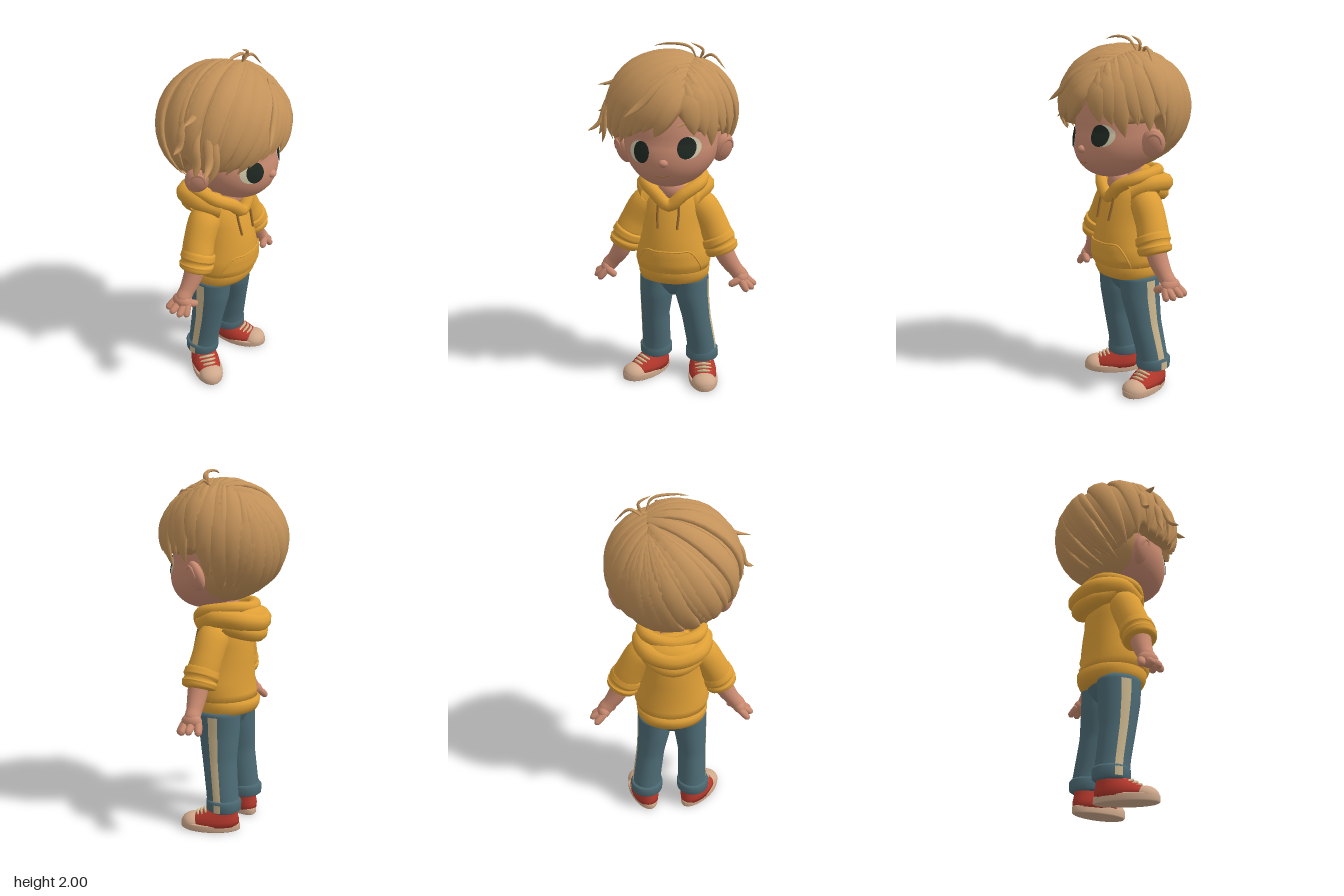
import * as THREE from 'three';

const V = (x, y, z) => new THREE.Vector3(x, y, z);
const paint = (name, color) => {
  const m = new THREE.MeshStandardMaterial({ color, side: THREE.DoubleSide });
  m.name = name;
  return m;
};

// Linear lookup in rows [key, a, b, ...]
function rowAt(rows, k) {
  let i = 0;
  while (i < rows.length - 2 && k > rows[i + 1][0]) i++;
  const t = THREE.MathUtils.clamp((k - rows[i][0]) / (rows[i + 1][0] - rows[i][0]), 0, 1);
  return rows[i].slice(1).map((v, j) => THREE.MathUtils.lerp(v, rows[i + 1][j + 1], t));
}

// Closed skin over equal-sized rings, with end caps
function loft(rings) {
  const n = rings[0].length, m = rings.length, idx = [], pts = rings.flat();
  for (let i = 0; i < m - 1; i++) for (let j = 0; j < n; j++) {
    const k = (j + 1) % n, a = i * n + j, b = a + n, c = i * n + k, d = c + n;
    idx.push(a, b, c, b, d, c);
  }
  const mid = (r) => r.reduce((s, p) => s.add(p), V(0, 0, 0)).divideScalar(n);
  pts.push(mid(rings[0]), mid(rings[m - 1]));
  for (let j = 0; j < n; j++) {
    const k = (j + 1) % n, e = (m - 1) * n;
    idx.push(m * n, j, k, m * n + 1, e + k, e + j);
  }
  const g = new THREE.BufferGeometry().setFromPoints(pts);
  g.setIndex(idx);
  g.computeVertexNormals();
  return g;
}

// Horizontal elliptical ring
const ring = (cx, y, cz, rx, rz, n = 32) => Array.from({ length: n }, (_, j) => {
  const a = j / n * Math.PI * 2;
  return V(cx + rx * Math.cos(a), y, cz + rz * Math.sin(a));
});

// Sweep an ellipse along a curve; size(t) gives [half width, half thickness]
function sweep(pts, size, normal, segs = 14, sides = 8) {
  const curve = new THREE.CatmullRomCurve3(pts), rings = [];
  for (let i = 0; i <= segs; i++) {
    const t = i / segs, p = curve.getPoint(t), T = curve.getTangent(t), [w, h] = size(t);
    const S = T.clone().cross(normal(p)).normalize(), N = S.clone().cross(T);
    rings.push(Array.from({ length: sides }, (_, j) => {
      const a = j / sides * Math.PI * 2;
      return p.clone().addScaledVector(S, w * Math.cos(a)).addScaledVector(N, h * Math.sin(a));
    }));
  }
  return loft(rings);
}

// Round limb from rows [x, y, z, radius], s mirrors it
function limb(rows, s = 1, segs = 16, sides = 20) {
  const radii = rows.map((r, i) => [i / (rows.length - 1), r[3]]);
  return sweep(rows.map((r) => V(s * r[0], r[1], r[2])),
    (t) => { const r = rowAt(radii, t)[0]; return [r, r]; }, () => V(0, 0, 1), segs, sides);
}

// Open curved plate from a function of u, v in 0..1
function patch(fn, nu, nv) {
  const g = new THREE.PlaneGeometry(1, 1, nu, nv), p = g.attributes.position;
  for (let i = 0; i < p.count; i++) p.setXYZ(i, ...fn(p.getX(i) + 0.5, p.getY(i) + 0.5));
  g.computeVertexNormals();
  return g;
}

const tube = (pts, r, closed = false) =>
  new THREE.TubeGeometry(new THREE.CatmullRomCurve3(pts.map((p) => V(...p)), closed), 48, r, 10, closed);
const ball = (x, y, z, rx, ry, rz) => new THREE.SphereGeometry(1, 28, 20).scale(rx, ry, rz).translate(x, y, z);

export function createModel() {
  const model = new THREE.Group();
  const skin = paint('skin', 0xc98a70), hair = paint('hair', 0xc3925a), hoodie = paint('hoodie', 0xdf9f36);
  const brown = paint('brown cord', 0x94642c), denim = paint('denim', 0x4d6b75), cream = paint('cream', 0xccb78e);
  const red = paint('shoe red', 0xb5382c), rubber = paint('rubber', 0xcfa98c);
  const white = paint('eye white', 0xd0c8aa), dark = paint('eye dark', 0x1f2822);
  const add = (name, geo, mat, parent = model) => {
    const m = new THREE.Mesh(geo, mat);
    m.name = name;
    parent.add(m);
    return m;
  };

  // Head: ellipsoid with the jaw pushed forward
  const skullY = (y) => (y < 1.5 ? 0.26 : 0.38);
  const jaw = (y) => 0.35 * Math.max(0, 1.5 - y);
  const faceZ = (x, y) => 0.265 * Math.sqrt(Math.max(0, 1 - (x / 0.265) ** 2 - ((y - 1.5) / skullY(y)) ** 2)) + jaw(y);
  const skull = new THREE.SphereGeometry(1, 48, 36), sp = skull.attributes.position;
  for (let i = 0; i < sp.count; i++) {
    const y = 1.5 + sp.getY(i) * (sp.getY(i) < 0 ? 0.26 : 0.38);
    sp.setXYZ(i, sp.getX(i) * 0.265, y, sp.getZ(i) * 0.265 + jaw(y));
  }
  skull.computeVertexNormals();
  add('head', skull, skin);
  add('nose', ball(0.01, 1.405, 0.273, 0.026, 0.022, 0.028), skin);
  add('neck', limb([[0, 1.14, -0.06, 0.075], [0, 1.32, -0.04, 0.06]]), skin);
  add('throat', ball(0, 1.2, 0.03, 0.075, 0.07, 0.06), skin);
  const disc = (cx, cy, rx, ry, off) => patch((u, v) => {
    const x = cx + rx * v * Math.cos(u * Math.PI * 2), y = cy + ry * v * Math.sin(u * Math.PI * 2);
    return [x, y, faceZ(x, y) + off];
  }, 32, 6);
  for (const [s, x, y, px] of [[-1, -0.126, 1.455, -0.112], [1, 0.138, 1.485, 0.127]]) {
    add('eyeWhite', disc(x, y, 0.057, 0.058, 0.003), white);
    add('pupil', disc(px, y, 0.046, 0.057, 0.006), dark);
    const ear = new THREE.Group();
    ear.name = 'ear';
    ear.position.set(s * 0.278, s < 0 ? 1.41 : 1.445, 0.005);
    ear.rotation.set(0, s * -0.7, s * -0.3);
    add('earShell', ball(0, 0, 0, 0.038, 0.082, 0.064), skin, ear);
    add('earFold', new THREE.TorusGeometry(0.045, 0.008, 8, 28, Math.PI * 1.2).scale(0.9, 1.25, 1)
      .rotateY(Math.PI / 2).translate(s * 0.024, 0.004, -0.004), skin, ear);
    model.add(ear);
  }
  const onFace = (x, y, d) => [x, y, faceZ(x, y) + d];
  add('mouth', tube([onFace(-0.035, 1.333, 0), onFace(0, 1.328, 0), onFace(0.035, 1.335, 0)], 0.0025), brown);
  add('brow', tube([onFace(0.08, 1.595, 0), onFace(0.13, 1.612, 0), onFace(0.18, 1.6, 0)], 0.005), hair);

  // Hair: a cap under overlapping locks that sweep from a side parting
  const C = V(0, 1.62, -0.01), R = V(0.35, 0.34, 0.36), rad = Math.PI / 180;
  const out = (p) => p.clone().sub(C).normalize();
  const hem = [[0, 1.6], [12, 1.56], [25, 1.53], [42, 1.475], [60, 1.45], [80, 1.455], [92, 1.5], [100, 1.42], [115, 1.35], [140, 1.31], [180, 1.295]];
  const tipY = (a) => rowAt(hem, Math.abs(a) > 180 ? 360 - Math.abs(a) : Math.abs(a))[0] + (a > 0 && a < 95 ? 0.055 : 0);
  const dirOf = (a, e) => V(Math.sin(a) * Math.cos(e), Math.sin(e), Math.cos(a) * Math.cos(e));
  const lift = (y) => Math.asin(THREE.MathUtils.clamp((y - C.y) / R.y, -0.97, 0.97));
  const onHair = (d, k) => {
    const p = d.clone().multiply(R).multiplyScalar(k);
    return p.setX(p.x * (p.x < 0 ? 1.065 : 1 - 0.45 * Math.max(0, p.z))).add(C);
  };
  const cap = [];
  for (let i = 0; i <= 20; i++) cap.push(Array.from({ length: 72 }, (_, j) => {
    let deg = 90 - j * 5;
    if (deg < -180) deg += 360;
    const low = tipY(deg) + 0.05 + 0.1 * Math.exp(-(((deg - 13) / 15) ** 2));
    return onHair(dirOf(deg * rad, THREE.MathUtils.lerp(lift(low), Math.PI / 2, i / 20)), 0.955 - 0.02 * i / 20);
  }));
  add('hairCap', loft(cap), hair);
  add('napeHair', new THREE.SphereGeometry(1, 32, 20, Math.PI, Math.PI, Math.PI * 0.4, Math.PI * 0.6)
    .scale(0.28, 0.222, 0.262).translate(0, 1.505, -0.03), hair);

  let seed = 7;
  const rnd = () => (seed = (seed * 16807) % 2147483647) / 2147483647;
  const lock = (name, pts, w, h) => add(name, sweep(pts,
    (t) => { const k = Math.min(1, 0.35 + 1.5 * t) * (1.002 - t ** 4); return [w * k, h * k]; }, out), hair);
  function sweptLock(a, u, w, h, raise, k0) {
    const z = THREE.MathUtils.lerp(0.7, -0.46, THREE.MathUtils.clamp(u, 0, 1));
    const d0 = V(0.37, Math.sqrt(1 - 0.37 ** 2 - z * z), z), d1 = dirOf(a * rad, lift(tipY(a) + raise));
    const th = d0.angleTo(d1), pts = [];
    for (let i = 0; i <= 8; i++) {
      const t = i / 8;
      const d = d0.clone().multiplyScalar(Math.sin((1 - t) * th) / Math.sin(th))
        .addScaledVector(d1, Math.sin(t * th) / Math.sin(th));
      pts.push(onHair(d, k0 + 0.03 * Math.sin(Math.PI * t ** 0.6) + 0.05 * t * t));
    }
    lock('hairLock', pts, w, h);
  }
  for (const [from, to, n] of [[-4, -185, 19], [36, 178, 14]]) for (let i = 0; i < n; i++) {
    const f = i / (n - 1), a = from + (to - from) * f;
    sweptLock(a, f * 1.4, 0.064, 0.024, (rnd() - 0.5) * 0.07, 0.922 + rnd() * 0.012);
    sweptLock(a + (rnd() - 0.5) * 8, f * 1.4 + 0.03, 0.03, 0.016, 0.02 + rnd() * 0.2, 0.938);
  }
  // Loose tufts and stray strands
  const strays = [
    [[0.13, 1.91, 0], [0.1, 1.975, 0.03], [-0.01, 1.993, 0.04], [-0.09, 1.98, 0.05]],
    [[0.14, 1.9, 0], [0.165, 1.96, 0.01], [0.1, 1.997, 0.02]],
    [[0.14, 1.9, -0.02], [0.21, 1.935, 0], [0.29, 1.86, 0.02]],
    [[-0.05, 1.94, 0.02], [-0.2, 1.875, 0.03], [-0.32, 1.785, 0.03], [-0.41, 1.765, 0.03]],
    [[-0.22, 1.84, 0.1], [-0.33, 1.7, 0.12], [-0.37, 1.58, 0.15], [-0.43, 1.535, 0.17]],
    [[-0.25, 1.85, -0.01], [-0.355, 1.72, -0.02], [-0.385, 1.63, -0.02], [-0.43, 1.61, -0.02]],
    [[0.07, 1.89, 0.2], [-0.02, 1.8, 0.3], [-0.1, 1.71, 0.34], [-0.17, 1.655, 0.372]],
    [[-0.3, 1.76, 0.06], [-0.365, 1.65, 0.07], [-0.375, 1.55, 0.08], [-0.395, 1.5, 0.08]],
    [[-0.29, 1.74, 0.14], [-0.33, 1.64, 0.16], [-0.34, 1.54, 0.16], [-0.36, 1.47, 0.14]],
  ];
  strays.forEach((s, i) => lock('strayStrand', s.map((p) => V(...p)), i < 3 ? 0.011 : 0.026, i < 3 ? 0.008 : 0.015));

  // Hoodie body: rows of y, half width, back z, front z
  const body = [[0.73, 0.2, -0.212, 0.148], [0.78, 0.217, -0.205, 0.165], [0.85, 0.205, -0.195, 0.165],
    [0.95, 0.178, -0.195, 0.15], [1.05, 0.172, -0.19, 0.125], [1.12, 0.175, -0.18, 0.1], [1.18, 0.15, -0.16, 0.07],
    [1.22, 0.09, -0.13, 0.03]];
  const band = [[0.66, 0.175, -0.18, 0.11], [0.67, 0.198, -0.21, 0.13], [0.7, 0.205, -0.225, 0.146],
    [0.735, 0.207, -0.228, 0.152], [0.75, 0.195, -0.2, 0.145]];
  const shell = (rows) => loft(rows.map(([y, rx, b, f]) => ring(0, y, (b + f) / 2, rx, (f - b) / 2)));
  add('hoodieBody', shell(body), hoodie);
  add('hoodieHem', shell(band), hoodie);
  const chest = (x, y, off) => {
    const [rx, b, f] = rowAt(body, y);
    return [x, y, (b + f) / 2 + (f - b) / 2 * Math.sqrt(Math.max(0, 1 - (x / rx) ** 2)) + off];
  };
  const pocketRows = [[0.745, 0.175], [0.78, 0.18], [0.87, 0.125]];
  add('pocket', patch((u, v) => {
    const y = 0.745 + 0.125 * v;
    return chest((u * 2 - 1) * rowAt(pocketRows, y)[0], y, 0.009);
  }, 20, 8), hoodie);
  const edge = [[-0.175, 0.745], [-0.18, 0.78], [-0.125, 0.87], [-0.06, 0.872], [0.06, 0.872], [0.125, 0.87], [0.18, 0.78], [0.175, 0.745]];
  add('pocketEdge', tube(edge.map(([x, y]) => chest(x, y, 0.007)), 0.005), hoodie);

  // Hood lying on the shoulders
  const both = (pts) => [...pts.slice(1).reverse().map(([x, y, z]) => [-x, y, z]), ...pts];
  const collar = [[0.08, 1.19, 0.09], [0.15, 1.235, 0.03], [0.16, 1.255, -0.06], [0.12, 1.265, -0.15]];
  add('collar', tube([[0, 1.125, 0.1], ...collar, [0, 1.255, -0.19],
    ...collar.map(([x, y, z]) => [-x, y, z]).reverse()], 0.036, true), hoodie);
  add('hoodFold', tube(both([[0, 1.175, -0.238], [0.13, 1.195, -0.19], [0.17, 1.205, -0.06], [0.12, 1.17, 0.05]]), 0.052), hoodie);
  add('hoodLowerFold', tube(both([[0, 1.115, -0.23], [0.1, 1.135, -0.19], [0.155, 1.168, -0.09]]), 0.047), hoodie);
  add('hoodDrape', ball(0, 1.18, -0.155, 0.175, 0.1, 0.115), hoodie);

  for (const s of [-1, 1]) {
    add('drawstring', tube([chest(s * 0.055, 1.17, 0.03), chest(s * 0.06, 1.1, 0.016), chest(s * 0.055, 1.0, 0.01)], 0.007), brown);

    // Arm with rolled cuff and splayed fingers
    add('sleeve', limb([[0.1, 1.14, -0.04, 0.075], [0.165, 1.09, -0.035, 0.09], [0.222, 1.0, -0.03, 0.086], [0.257, 0.925, -0.02, 0.088]], s), hoodie);
    add('sleeveCuff', limb([[0.245, 0.945, -0.015, 0.075], [0.25, 0.935, -0.015, 0.094], [0.264, 0.902, -0.014, 0.099],
      [0.272, 0.886, -0.013, 0.088], [0.278, 0.87, -0.012, 0.098], [0.29, 0.846, -0.011, 0.09], [0.293, 0.838, -0.011, 0.06]], s, 24), hoodie);
    add('forearm', limb([[0.275, 0.89, -0.01, 0.06], [0.315, 0.8, -0.015, 0.053], [0.36, 0.735, -0.022, 0.043], [0.39, 0.7, -0.026, 0.044], [0.41, 0.672, -0.03, 0.026]], s), skin);
    add('palm', ball(s * 0.398, 0.688, -0.028, 0.04, 0.042, 0.058), skin);
    const tips = [[0.44, 0.62, 0.03, 0.01], [0.472, 0.63, 0.0, 0.0], [0.48, 0.64, -0.045, -0.035], [0.452, 0.632, -0.095, -0.065], [0.335, 0.65, 0.03, 0.01]];
    for (const [x, y, z, bz] of tips) {
      const w = (f, r) => [0.395 + (x - 0.395) * f, 0.685 + (y - 0.685) * f, bz + (z - bz) * f, r];
      add(x < 0.4 ? 'thumb' : 'finger', limb([w(0, 0.021), w(0.5, 0.022), w(0.85, 0.019), w(1, 0.007)], s, 10, 10), skin);
    }

    // Trouser leg: rows of y, centre x, centre z, half width, half depth
    const foot = s > 0 ? 0.16 : 0.125;
    const rows = [[0.13, foot, -0.1, 0.088, 0.093], [0.22, foot - 0.005, -0.088, 0.084, 0.092],
      [0.4, s > 0 ? 0.13 : 0.118, -0.06, 0.083, 0.1], [0.55, 0.106, -0.046, 0.096, 0.118], [0.68, 0.1, -0.042, 0.1, 0.125]];
    const ys = Array.from({ length: 23 }, (_, i) => 0.13 + 0.025 * i);
    add('trouserLeg', loft(ys.map((y) => { const [x, z, rx, rz] = rowAt(rows, y); return ring(s * x, y, z, rx, rz, 40); })), denim);
    const cuff = [[0.115, 0.085], [0.125, 0.099], [0.172, 0.1], [0.186, 0.088]];
    add('trouserCuff', loft(cuff.map(([y, r]) => ring(s * foot, y, -0.1, r * 0.97, r))), denim);
    add('sideStripe', patch((u, v) => {
      const y = 0.18 + 0.475 * v, a = (u - 0.5) * 0.46 - 0.05, [x, z, rx, rz] = rowAt(rows, y);
      return [s * (x + (rx + 0.003) * Math.cos(a)), y, z + (rz + 0.003) * Math.sin(a)];
    }, 6, 19), cream);
    add('cuffStripe', patch((u, v) => {
      const a = (u - 0.5) * 0.4 - 0.05;
      return [s * (foot + 0.1 * Math.cos(a)), 0.126 + 0.046 * v, -0.1 + 0.103 * Math.sin(a)];
    }, 6, 1), cream);

    // Sneaker, toe along its own +z, turned outwards
    const shoe = new THREE.Group(), turn = s > 0 ? 0.27 : -0.64;
    shoe.name = 'shoe';
    shoe.rotation.y = turn;
    shoe.position.set(s * foot + 0.055 * Math.sin(turn), 0, -0.1 + 0.055 * Math.cos(turn));
    const outline = (y, k) => ring(0, y, 0.022, 0.085 * k, 0.17 * k).map((p) => p.setX(p.x * (1 + 0.7 * (p.z - 0.02))));
    add('sole', loft([outline(0, 0.95), outline(0.006, 1), outline(0.034, 1), outline(0.04, 0.96)]), rubber, shoe);
    const upper = [[0.03, 0.012, 0.082, 0.153], [0.06, 0.0, 0.082, 0.143], [0.085, -0.015, 0.075, 0.121], [0.11, -0.038, 0.066, 0.095], [0.135, -0.055, 0.06, 0.077]];
    add('shoeUpper', loft(upper.map(([y, z, rx, rz]) => ring(0, y, z, rx, rz))), red, shoe);
    add('toeCap', new THREE.SphereGeometry(1, 28, 12, 0, Math.PI * 2, 0, Math.PI / 2)
      .scale(0.073, 0.055, 0.07).translate(0, 0.03, 0.118), rubber, shoe);
    for (const [y, z] of [[0.092, 0.096], [0.104, 0.075], [0.116, 0.054], [0.13, 0.032]]) {
      add('lace', tube([[-0.045, y - 0.016, z - 0.018], [0, y + 0.002, z], [0.045, y - 0.016, z - 0.018]], 0.008), cream, shoe);
    }
    model.add(shoe);
  }

  // Trouser seat
  const seat = [[0.545, 0.04, 0.035], [0.57, 0.08, 0.065], [0.6, 0.125, 0.092], [0.64, 0.175, 0.115], [0.67, 0.193, 0.124], [0.7, 0.195, 0.126]];
  add('trouserSeat', loft(seat.map(([y, rx, rz]) => ring(0, y, -0.043, rx, rz))), denim);
  return model;
}
